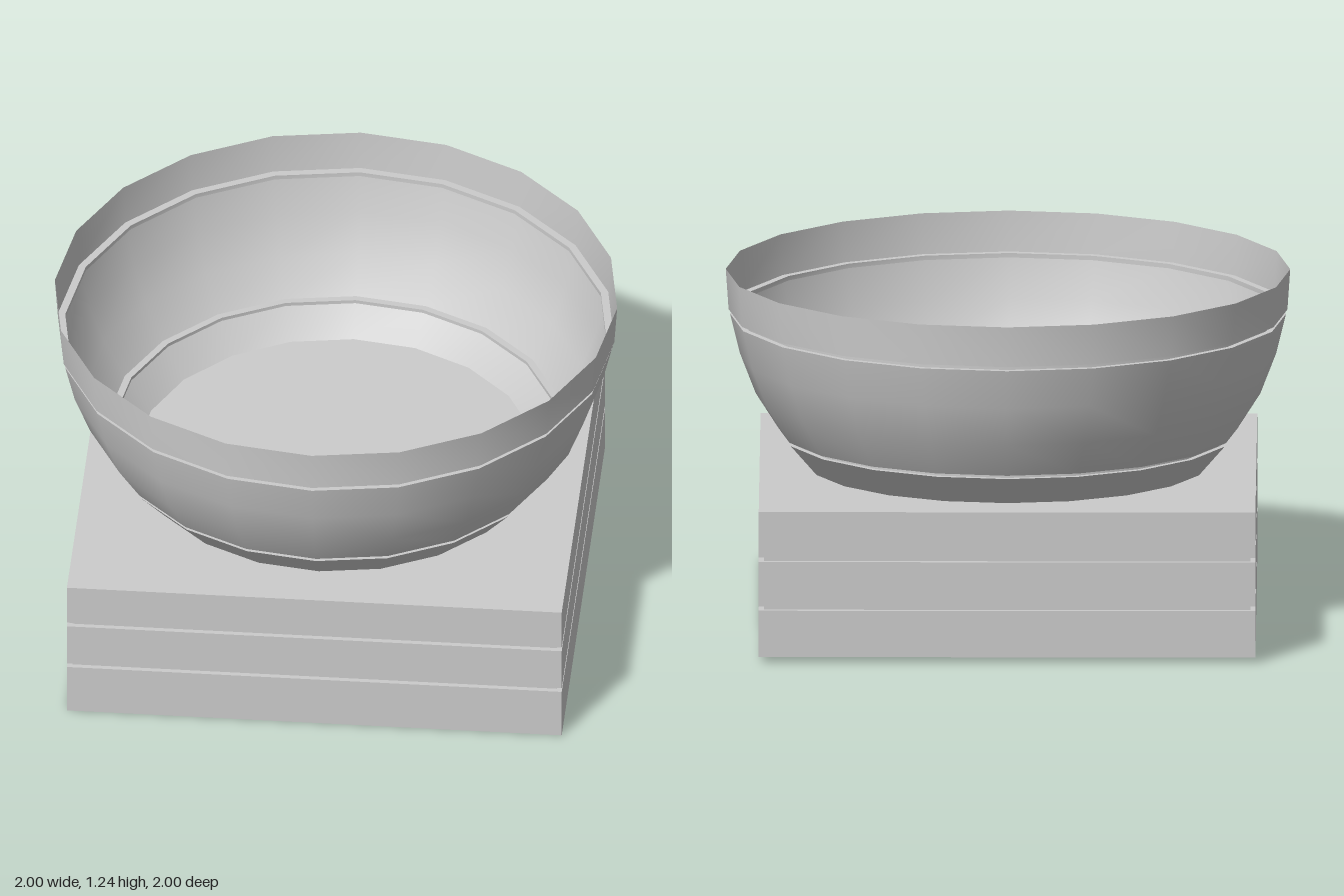
import * as THREE from 'three';
import { toCreasedNormals } from 'three/addons/utils/BufferGeometryUtils.js';

const profile = (pairs) => pairs.map(([r, y]) => new THREE.Vector2(r, y));

// Move every vertex for which rule(x, y, z) returns a new position
function reshape(geometry, rule) {
  const p = geometry.attributes.position;
  for (let i = 0; i < p.count; i++) {
    const moved = rule(p.getX(i), p.getY(i), p.getZ(i));
    if (moved) p.setXYZ(i, ...moved);
  }
  return geometry;
}

export function createModel() {
  const group = new THREE.Group();
  group.name = 'bowlOnPlinth';

  // Square plinth: hollow, open below, with two grooves round its walls
  const half = 0.88, inset = 0.862, baseTop = 0.538, baseBottom = 0.01;
  const walls = [[half, baseBottom]];
  for (const y of [0.188, 0.364]) {
    walls.push([half, y], [inset, y], [inset, y + 0.016], [half, y + 0.016]);
  }
  walls.push([half, baseTop], [0, baseTop]);
  const square = profile(walls.map(([r, y]) => [r * Math.SQRT2, y]));
  // The top and the lower edge rise slightly towards the back
  const plinthGeometry = reshape(
    new THREE.LatheGeometry(square, 4, Math.PI / 4),
    (x, y, z) => {
      if (y > 0.5) return [x, y - z * 0.008, z];
      if (y < 0.1) return [x, y - z * 0.0114, z];
      return null;
    }
  );
  const plinth = new THREE.Mesh(plinthGeometry, new THREE.MeshStandardMaterial({
    color: 0xcccccc, flatShading: true, side: THREE.DoubleSide,
  }));
  plinth.name = 'plinth';

  // Thin 20-sided bowl with a groove above the foot and one below the rim
  const bowlProfile = profile([
    [0.71, 0.538], [0.808, 0.65],
    [0.788, 0.65], [0.788, 0.663], [0.813, 0.663],
    [0.894, 0.79], [0.95, 0.935], [0.985, 1.078],
    [0.963, 1.078], [0.963, 1.094], [0.99, 1.094],
    [1, 1.24],
  ]);
  // The foot is cut to the slope of the plinth
  const bowlGeometry = reshape(new THREE.LatheGeometry(bowlProfile, 20), (x, y, z) => {
    if (y > 0.6) return null;
    const k = 1 - z * 0.014;
    return [x * k, y - z * 0.008, z * k];
  });
  const bowl = new THREE.Mesh(
    toCreasedNormals(bowlGeometry, Math.PI / 6),
    new THREE.MeshStandardMaterial({ color: 0xcccccc, side: THREE.DoubleSide })
  );
  bowl.name = 'bowl';

  group.add(plinth, bowl);
  return group;
}
